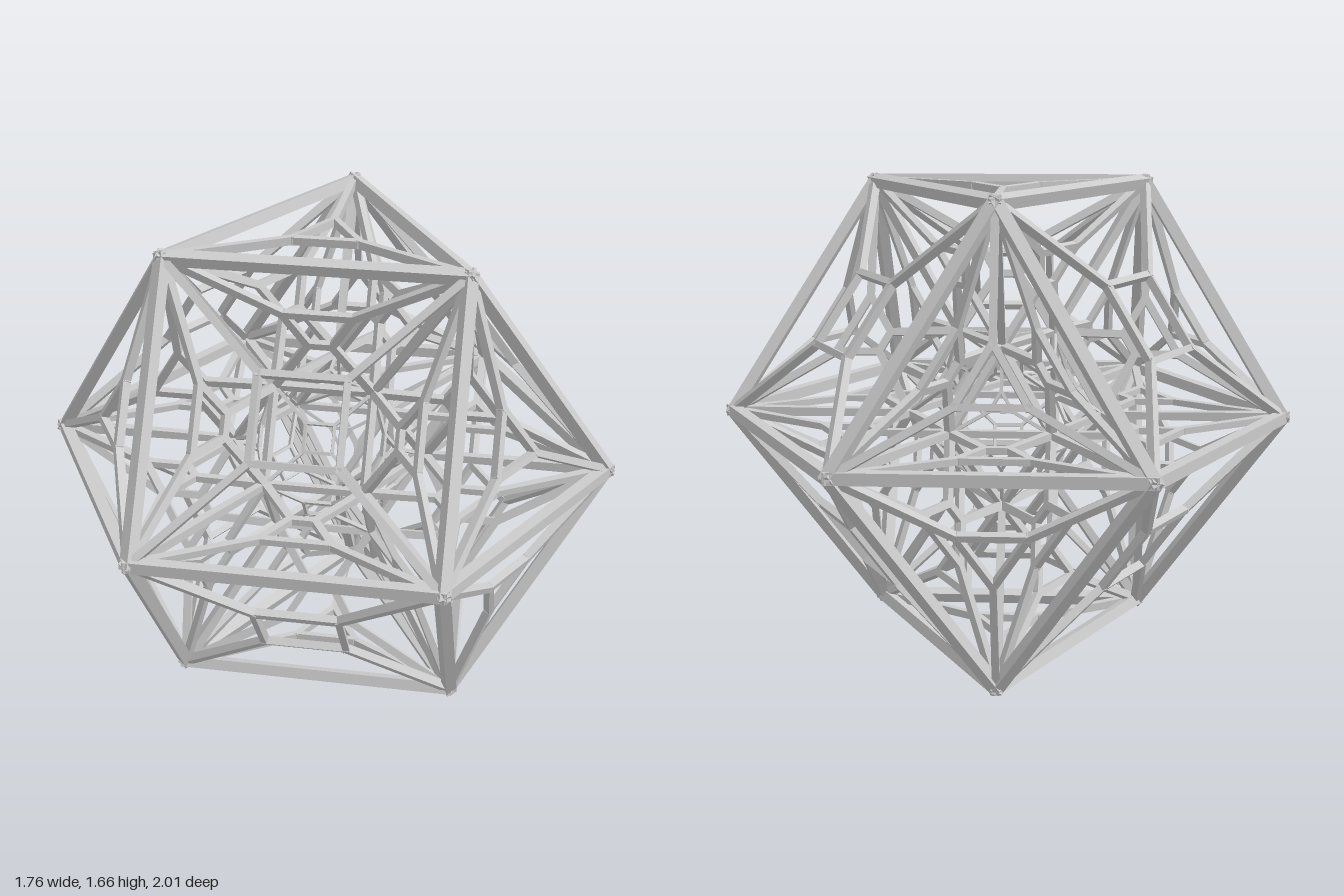
import * as THREE from 'three';

const MID = Math.sqrt(2 / 3);      // half the height of the solid
const SHRINK = 0.98;               // keeps the beams inside the outer hull
const CORE = 0.35;                 // size of the inner copy of the solid

export function createModel() {
  const model = new THREE.Group();
  const material = new THREE.MeshStandardMaterial({ color: 0xcccccc, flatShading: true });

  // Square bar from a to b that may taper; its depth points at the centre
  function beam(parent, name, a, b, w0, w1 = w0, depth = 1) {
    const dir = b.clone().sub(a);
    const length = dir.length();
    dir.normalize();
    const out = a.clone().add(b);
    out.addScaledVector(dir, -out.dot(dir));
    if (out.length() < 0.01) {
      out.set(0, 1, 0);
      if (Math.abs(dir.y) > 0.9) out.set(1, 0, 0);
      out.addScaledVector(dir, -out.dot(dir));
    }
    out.normalize();
    const side = out.clone().cross(dir);
    const geo = new THREE.BoxGeometry(1, 1, 1);
    const pos = geo.attributes.position;
    for (let i = 0; i < pos.count; i++) {
      const end = pos.getZ(i) > 0;
      const w = end ? w1 : w0;
      const z = pos.getZ(i) * length + (end ? w * 0.4 : -w * 0.4);
      pos.setXYZ(i, pos.getX(i) * w, pos.getY(i) * w * depth, z);
    }
    geo.computeVertexNormals();
    const mesh = new THREE.Mesh(geo, material);
    mesh.name = name;
    mesh.quaternion.setFromRotationMatrix(new THREE.Matrix4().makeBasis(side, out, dir));
    mesh.position.copy(a).add(b).multiplyScalar(0.5);
    parent.add(mesh);
  }

  // Small copy of a face in its middle, held by a strut from each corner
  function inset(name, corners, scale, width) {
    const group = new THREE.Group();
    group.name = name;
    const mid = corners.reduce((s, c) => s.add(c), new THREE.Vector3()).divideScalar(corners.length);
    const small = corners.map(c => mid.clone().lerp(c, scale));
    small.forEach((p, i) => {
      beam(group, 'insetEdge', p, small[(i + 1) % small.length], width, width, 1.2);
      beam(group, 'insetStrut', corners[i], p, width * 1.15, width, 1.2);
    });
    model.add(group);
  }

  // Corners: a middle hexagon and two aligned triangles above and below
  const ring = (n, r, start, y) => Array.from({ length: n }, (_, i) => {
    const t = start + i * 2 * Math.PI / n;
    return new THREE.Vector3(r * Math.cos(t), y, r * Math.sin(t)).multiplyScalar(SHRINK);
  });
  const hexagon = ring(6, 1, Math.PI / 6, 0);
  const caps = [MID, -MID].map(y => ring(3, 1 / Math.sqrt(3), 0, y));
  const corners = [...hexagon, ...caps[0], ...caps[1]];
  const toCore = c => c.clone().multiplyScalar(CORE);

  // Edges of both shells, and the inset in the wall joining each pair
  corners.forEach((a, i) => corners.slice(i + 1).forEach(b => {
    if (Math.abs(a.distanceTo(b) - SHRINK) > 0.02) return;
    beam(model, 'outerEdge', a, b, 0.04);
    beam(model, 'coreEdge', toCore(a), toCore(b), 0.024);
    inset('wallInset', [a, b, toCore(b), toCore(a)], 0.24, 0.022);
  }));

  // Spokes from the outer corners to the core corners
  corners.forEach(c => beam(model, 'spoke', c, toCore(c), 0.036, 0.024));

  // Insets in the triangles and squares of both shells
  function faceInset(name, face, scale) {
    inset(name, face, scale, 0.023);
    inset(name + 'Core', face.map(toCore), scale, 0.011);
  }
  caps.forEach(cap => {
    faceInset('capTriangle', cap, 0.23);
    cap.forEach((c, i) => {
      faceInset('sideTriangle', [c, hexagon[2 * i], hexagon[(2 * i + 5) % 6]], 0.23);
      faceInset('sideSquare', [c, cap[(i + 1) % 3], hexagon[2 * i + 1], hexagon[2 * i]], 0.29);
    });
  });

  // Stand the frame on the ground
  model.children.forEach(part => { part.position.y += MID; });
  return model;
}
